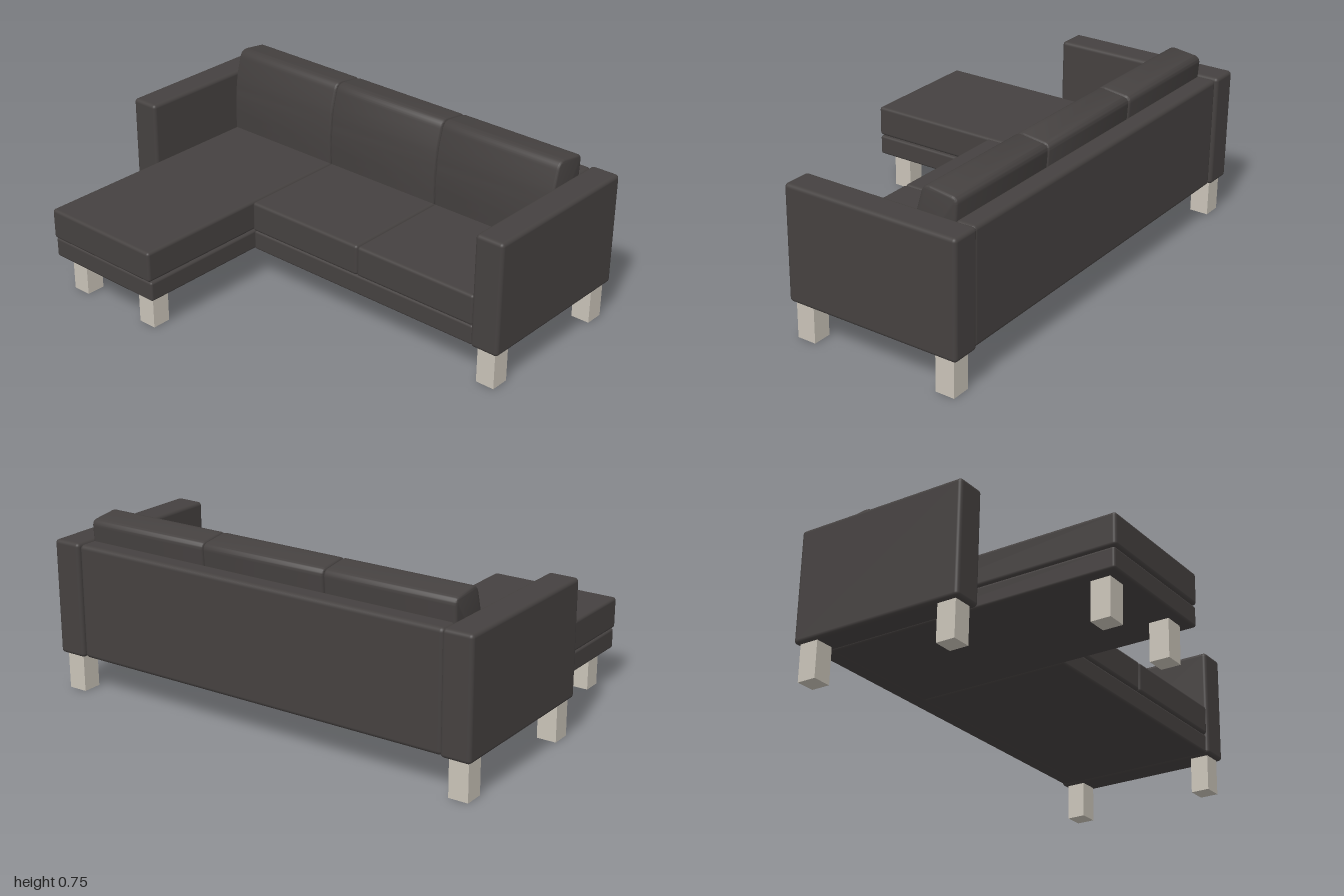
import * as THREE from 'three';
import { RoundedBoxGeometry } from 'three/addons/geometries/RoundedBoxGeometry.js';
import { toCreasedNormals } from 'three/addons/utils/BufferGeometryUtils.js';

const upholstery = new THREE.MeshStandardMaterial({ name: 'charcoal upholstery', color: 0x454140 });
const legPaint = new THREE.MeshStandardMaterial({ name: 'pale leg', color: 0xc9c3b8 });

// Rounded block given by its extents on each axis
function block(name, [x0, x1], [y0, y1], [z0, z1], radius) {
  const geo = new RoundedBoxGeometry(x1 - x0, y1 - y0, z1 - z0, 4, radius);
  const mesh = new THREE.Mesh(geo, upholstery);
  mesh.position.set((x0 + x1) / 2, (y0 + y1) / 2, (z0 + z1) / 2);
  mesh.name = name;
  return mesh;
}

// Leaning back cushion: side profile swept along x with soft ends
function backCushion(x0, x1) {
  const bevel = 0.012;
  const s = new THREE.Shape();
  s.moveTo(0.42, 0.385);
  s.quadraticCurveTo(0.413, 0.53, 0.433, 0.645);
  s.lineTo(0.452, 0.715);
  s.quadraticCurveTo(0.459, 0.744, 0.485, 0.741);
  s.lineTo(0.575, 0.729);
  s.quadraticCurveTo(0.592, 0.727, 0.59, 0.71);
  s.lineTo(0.57, 0.385);
  s.closePath();
  const geo = new THREE.ExtrudeGeometry(s, {
    depth: x1 - x0 - 2 * bevel, bevelEnabled: true, bevelSize: bevel,
    bevelThickness: bevel, bevelSegments: 4, curveSegments: 8,
  });
  geo.rotateY(Math.PI / 2);
  const mesh = new THREE.Mesh(toCreasedNormals(geo, 0.7), upholstery);
  mesh.position.x = x0 + bevel;
  mesh.name = 'backCushion';
  return mesh;
}

export function createModel() {
  const sofa = new THREE.Group();
  sofa.name = 'chaiseSofa';

  // Frame: arms, back panel and the L-shaped base
  sofa.add(
    block('leftArm', [0.87, 1], [0.16, 0.655], [-0.692, 0.095], 0.016),
    block('rightArm', [-1, -0.87], [0.16, 0.655], [-0.692, 0.095], 0.016),
    block('backPanel', [-0.873, 0.873], [0.16, 0.65], [-0.682, -0.59], 0.018),
    block('seatBase', [-0.29, 0.872], [0.16, 0.247], [-0.61, 0.085], 0.01),
    block('chaiseBase', [-0.872, -0.288], [0.16, 0.247], [-0.61, 0.685], 0.01),
  );

  // Seat cushions, the first one running out over the chaise
  const seams = [-0.875, -0.292, 0.288, 0.873];
  for (let i = 0; i < 3; i++) {
    const front = i === 0 ? 0.692 : 0.09;
    sofa.add(block(i === 0 ? 'chaiseCushion' : 'seatCushion',
      [seams[i], seams[i + 1]], [0.249, 0.384], [-0.6, front], 0.013));
    sofa.add(backCushion(seams[i] + 0.001, seams[i + 1] - 0.001));
  }

  // Square legs
  const legGeo = new THREE.BoxGeometry(0.084, 0.162, 0.084);
  const spots = [[-0.94, -0.627], [0.937, -0.627], [-0.94, 0.033], [0.937, 0.033], [-0.785, 0.597], [-0.377, 0.597]];
  for (const [x, z] of spots) {
    const leg = new THREE.Mesh(legGeo, legPaint);
    leg.position.set(x, 0.081, z);
    leg.name = 'leg';
    sofa.add(leg);
  }
  return sofa;
}
